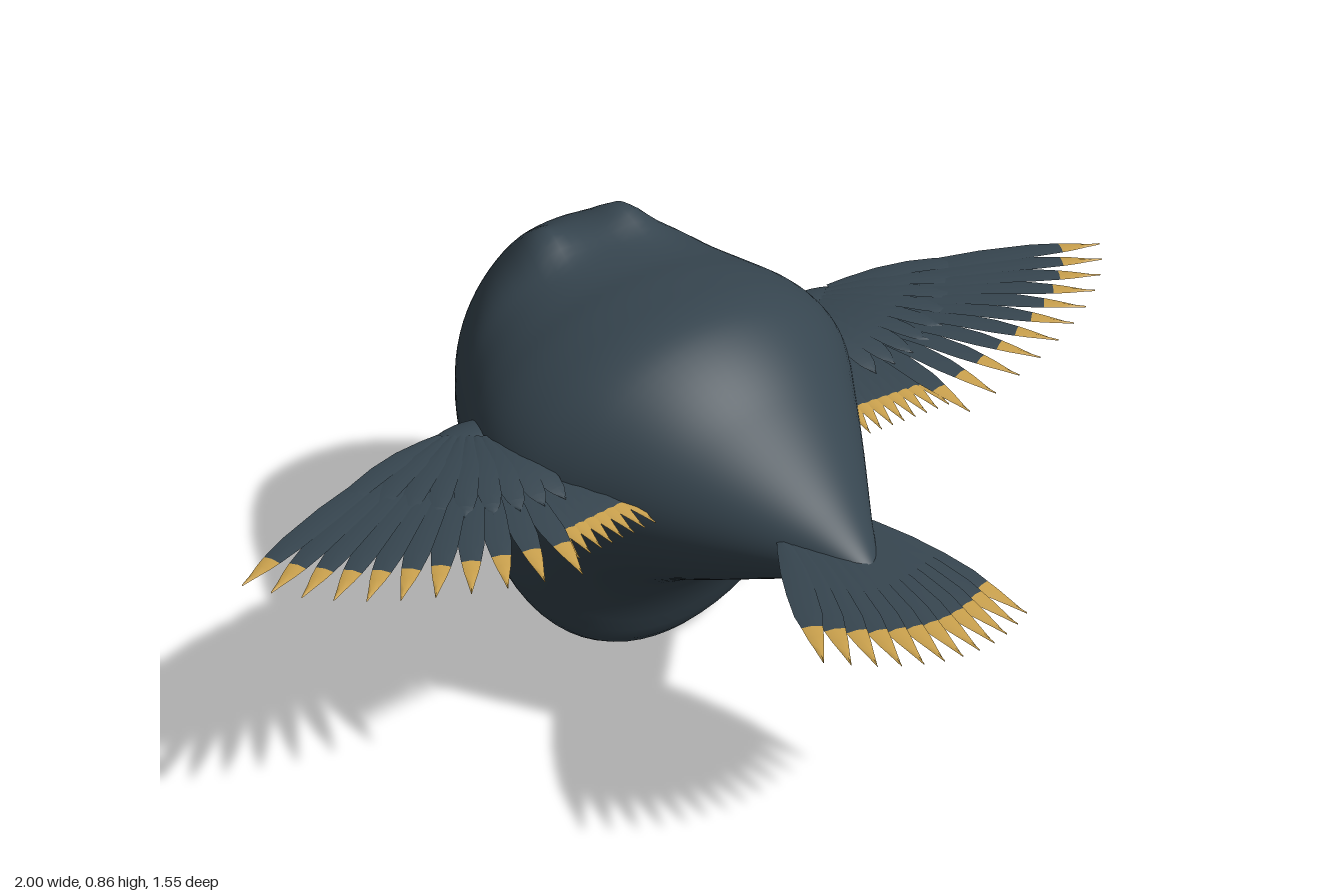
import * as THREE from 'three';

const slate = new THREE.MeshStandardMaterial({ color: 0x36454f, side: THREE.DoubleSide });
slate.name = 'slate plumage';
const gold = new THREE.MeshStandardMaterial({ color: 0xc9a04c, side: THREE.DoubleSide });
gold.name = 'gold feather tips';

// Surface from rows of points, optionally closed around each row
function loft(rows, closed) {
  const n = rows[0].length, index = [];
  for (let i = 0; i < rows.length - 1; i++) {
    for (let j = 0; j < (closed ? n : n - 1); j++) {
      const k = (j + 1) % n, a = i * n + j, b = i * n + k;
      index.push(a, b, b + n, a, b + n, a + n);
    }
  }
  const geo = new THREE.BufferGeometry().setFromPoints(rows.flat());
  geo.setIndex(index);
  geo.computeVertexNormals();
  return geo;
}

// Body cross-sections along z: z, top, bottom, widest height, half width
const SECTIONS = [
  [-0.78, 0.475, 0.475, 0.475, 0],
  [-0.765, 0.505, 0.455, 0.478, 0.022],
  [-0.74, 0.545, 0.442, 0.485, 0.05],
  [-0.65, 0.675, 0.395, 0.51, 0.145],
  [-0.55, 0.805, 0.325, 0.53, 0.24],
  [-0.49, 0.838, 0.275, 0.54, 0.28],
  [-0.43, 0.846, 0.21, 0.55, 0.315],
  [-0.35, 0.835, 0.125, 0.555, 0.352],
  [-0.265, 0.833, 0.035, 0.56, 0.388],
  [-0.2, 0.84, 0.004, 0.56, 0.403],
  [-0.14, 0.843, 0.035, 0.56, 0.402],
  [-0.08, 0.843, 0.15, 0.56, 0.385],
  [-0.015, 0.833, 0.25, 0.56, 0.35],
  [0.04, 0.812, 0.3, 0.56, 0.315],
  [0.17, 0.742, 0.375, 0.56, 0.232],
  [0.36, 0.643, 0.482, 0.56, 0.105],
  [0.48, 0.58, 0.547, 0.562, 0.025],
  [0.51, 0.562, 0.562, 0.562, 0],
];

function bodyGeometry() {
  const spline = new THREE.CubicInterpolant(
    SECTIONS.map(s => s[0]), SECTIONS.flatMap(s => s.slice(1)), 4);
  const rows = [], N = 90, M = 72;
  for (let i = 0; i <= N; i++) {
    // rings gather towards both ends
    const t = i / N, u = 0.5 * t + 0.25 * (1 - Math.cos(Math.PI * t));
    const z = -0.78 + 1.29 * u;
    const [top, bottom, mid, half] = spline.evaluate(z);
    const row = [];
    for (let j = 0; j < M; j++) {
      const a = (j / M) * Math.PI * 2, s = Math.sin(a);
      const x = half * Math.cos(a);
      let y = mid + (s > 0 ? top - mid : mid - bottom) * s;
      // twin bumps on the crown
      if (s > 0) y += 0.032 * Math.exp(-(((Math.abs(x) - 0.1) / 0.05) ** 2) - ((z + 0.44) / 0.07) ** 2);
      row.push(new THREE.Vector3(x, y, z));
    }
    rows.push(row);
  }
  return loft(rows, true);
}

// Cambered feather from root to tip, with a tapering tip in its own material
function feather(name, root, tip, width, { tipLength = 0.085, arch = 0.012, tipMaterial = gold } = {}) {
  const group = new THREE.Group();
  group.name = name;
  const dir = tip.clone().sub(root), length = dir.length();
  const side = new THREE.Vector3(dir.z, 0, -dir.x).normalize();
  const split = 1 - tipLength / length;
  const row = (t, w) => [-1, 0, 1].map(k => {
    const p = root.clone().addScaledVector(dir, t).addScaledVector(side, k * w / 2);
    p.y += arch * Math.sin(Math.PI * t) + (k === 0 ? 0.003 : 0);
    return p;
  });
  const blade = [[0, 0.35], [0.15, 0.6], [0.4, 0.9], [0.65, 1], [0.88, 0.95], [1, 0.72]];
  const point = [[0, 0.72], [0.3, 0.55], [0.65, 0.27], [1, 0.01]];
  const vane = new THREE.Mesh(loft(blade.map(([t, w]) => row(t * split, w * width))), slate);
  vane.name = 'featherVane';
  const end = new THREE.Mesh(loft(point.map(([t, w]) => row(split + t * (1 - split), w * width))), tipMaterial);
  end.name = 'featherTip';
  group.add(vane, end);
  return group;
}

function wing(side) {
  const group = new THREE.Group();
  group.name = side > 0 ? 'leftWing' : 'rightWing';
  const v = (x, y, z) => new THREE.Vector3(side * x, y, z);
  const lerp = THREE.MathUtils.lerp;

  // long flight feathers fanning from the wrist
  const tips = new THREE.CubicBezierCurve3(
    v(1, 0.652, -0.03), v(0.9, 0.645, 0.13), v(0.7, 0.62, 0.19), v(0.45, 0.592, 0.225));
  const P = 11;
  for (let i = 0; i < P; i++) {
    const t = i / (P - 1);
    const root = v(lerp(0.48, 0.4, t), lerp(0.632, 0.618, t), lerp(-0.245, -0.17, t));
    group.add(feather('primaryFeather', root, tips.getPoint(t), 0.05, { arch: 0.014 }));
  }
  // inner flight feathers
  const S = 9;
  for (let i = 0; i < S; i++) {
    const t = i / (S - 1);
    group.add(feather('secondaryFeather',
      v(lerp(0.41, 0.29, t), 0.612, lerp(-0.17, -0.13, t)),
      v(lerp(0.43, 0.225, t), lerp(0.595, 0.588, t), lerp(0.185, 0.165, t)),
      0.042, { tipLength: 0.075 }));
  }
  // short plain feathers over the roots
  for (let i = 0; i < 9; i++) {
    const t = i / 8, a = lerp(0.36, 1.6, t), r = lerp(0.3, 0.22, t);
    const x = lerp(0.46, 0.37, t), z = lerp(-0.245, -0.18, t);
    group.add(feather('covertFeather', v(x, 0.636, z),
      v(x + r * Math.cos(a), lerp(0.65, 0.615, t), z + r * Math.sin(a)),
      0.046, { tipLength: 0.03, tipMaterial: slate }));
  }
  // small gold-tipped feathers beneath the shoulder
  for (let i = 0; i < 5; i++) {
    const x = 0.35 + i * 0.018;
    group.add(feather('underFeather', v(x + 0.03, 0.612, -0.22),
      v(x, 0.598, -0.085 - i * 0.012), 0.03, { tipLength: 0.05, arch: 0 }));
  }
  // flattened wrist joint at the leading edge
  const wrist = new THREE.Mesh(new THREE.SphereGeometry(1, 24, 12), slate);
  wrist.name = 'wingWrist';
  wrist.scale.set(0.085, 0.016, 0.045);
  wrist.position.copy(v(0.425, 0.622, -0.228));
  wrist.rotation.y = -side * 0.2;
  group.add(wrist);
  return group;
}

// Fanned tail, rolled slightly to one side
function tail() {
  const group = new THREE.Group();
  group.name = 'tail';
  const N = 12;
  for (let i = 0; i < N; i++) {
    const t = i / (N - 1), k = 2 * t - 1;
    const x = THREE.MathUtils.lerp(-0.255, 0.19, t);
    const root = new THREE.Vector3(0.085 * k - 0.005, 0.578 - 0.012 * k, 0.34);
    const tip = new THREE.Vector3(x, 0.553 - 0.17 * x, 0.772 - 0.075 * k * k + 0.012 * k);
    group.add(feather('tailFeather', root, tip, 0.054, { tipLength: 0.1, arch: 0.006 }));
  }
  return group;
}

export function createModel() {
  const model = new THREE.Group();
  model.name = 'bird';
  const body = new THREE.Mesh(bodyGeometry(), slate);
  body.name = 'body';
  model.add(body, wing(1), wing(-1), tail());
  return model;
}
